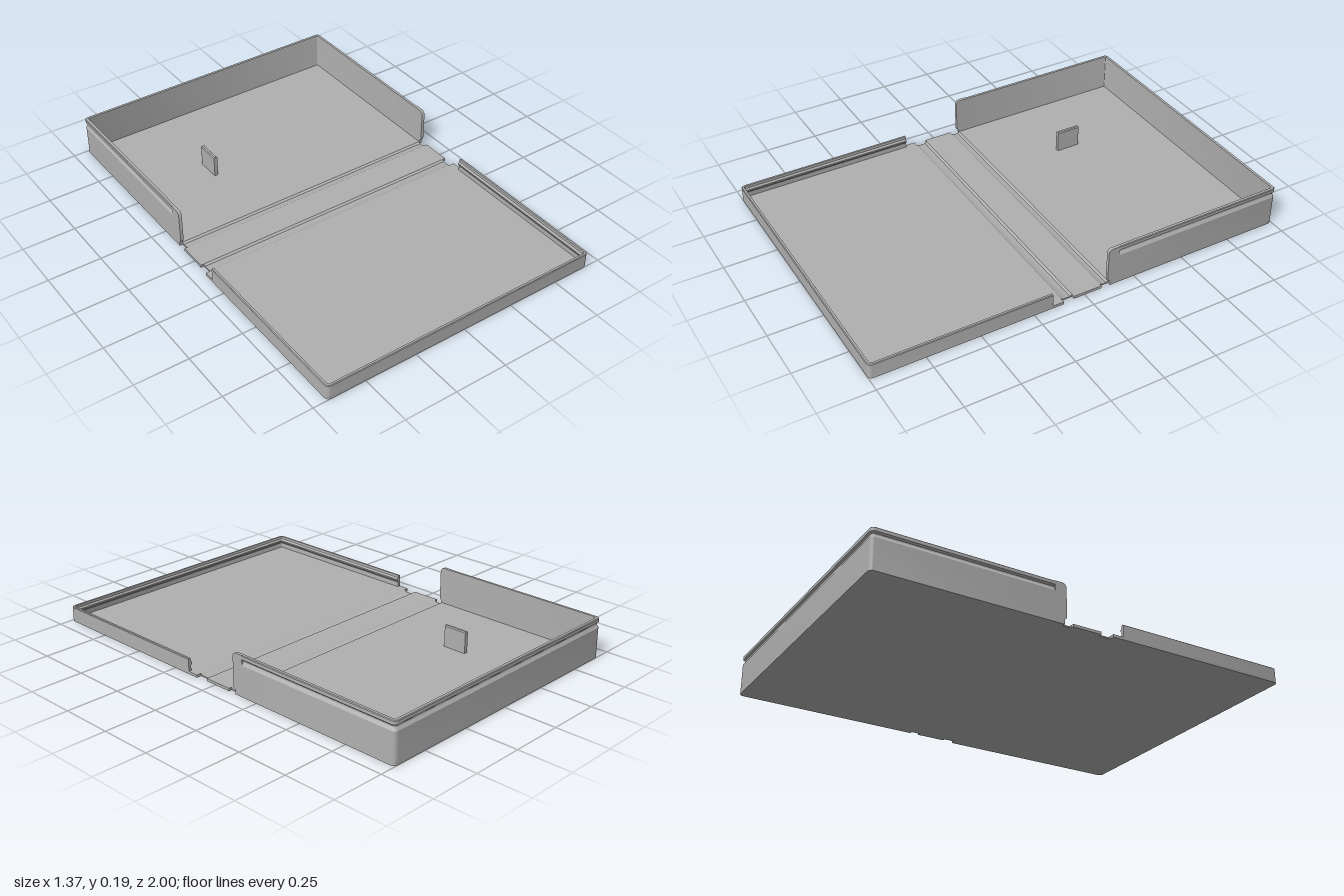
import * as THREE from 'three';
import { toCreasedNormals } from 'three/addons/utils/BufferGeometryUtils.js';

const FLOOR = 0.013;   // plate thickness
const THIN = 0.006;    // hinge thickness

// Flat plate in x/z with its two far (+z) corners rounded
function plate(hw, z0, z1, r) {
  const s = new THREE.Shape();
  s.moveTo(-hw, z0);
  s.lineTo(hw, z0);
  s.lineTo(hw, z1 - r);
  s.absarc(hw - r, z1 - r, r, 0, Math.PI / 2);
  s.absarc(-hw + r, z1 - r, r, Math.PI / 2, Math.PI);
  s.closePath();
  const g = new THREE.ExtrudeGeometry(s, { depth: FLOOR, bevelEnabled: false, curveSegments: 6 });
  g.rotateX(Math.PI / 2).translate(0, FLOOR, 0);
  return toCreasedNormals(g, 0.6);
}

// Shape drawn in (z, y), extruded across x and centred on the given x
function acrossX(shape, width, x = 0) {
  const g = new THREE.ExtrudeGeometry(shape, { depth: width, bevelEnabled: false, curveSegments: 6 });
  g.rotateY(-Math.PI / 2).translate(x + width / 2, 0, 0);
  return toCreasedNormals(g, 0.6);
}

// U-shaped wall: a section of [inset, y] points swept round three sides
function uWall(hw, z0, z1, r, section) {
  const n = section.length, steps = 6, pos = [], idx = [];
  const ring = (f) => section.forEach(([d, y]) => { const [x, z] = f(d); pos.push(x, y, z); });
  ring((d) => [hw - d, z0]);
  for (const side of [1, -1]) {
    for (let k = 0; k <= steps; k++) {
      const a = (side > 0 ? k : steps + k) / steps * Math.PI / 2;
      ring((d) => {
        const cx = side * (hw - r), cz = z1 - r;
        if (d > r) return [cx - side * (d - r), cz - (d - r)];
        return [cx + (r - d) * Math.cos(a), cz + (r - d) * Math.sin(a)];
      });
    }
  }
  ring((d) => [-hw + d, z0]);
  const rings = pos.length / 3 / n;
  for (let i = 0; i < rings - 1; i++) {
    for (let j = 0; j < n; j++) {
      const k = (j + 1) % n;
      const a = i * n + j, b = i * n + k, c = b + n, d = a + n;
      idx.push(a, b, c, a, c, d);
    }
  }
  // end caps
  const contour = section.map(([d, y]) => new THREE.Vector2(-d, y));
  const last = (rings - 1) * n;
  for (const [a, b, c] of THREE.ShapeUtils.triangulateShape(contour, [])) {
    idx.push(a, c, b, last + a, last + b, last + c);
  }
  const g = new THREE.BufferGeometry();
  g.setAttribute('position', new THREE.Float32BufferAttribute(pos, 3));
  g.setIndex(idx);
  return toCreasedNormals(g, 0.4);
}

export function createModel() {
  const model = new THREE.Group();
  model.name = 'hingedBox';
  const grey = new THREE.MeshStandardMaterial({ color: 0xb0b0b0 });
  grey.name = 'grey plastic';
  const add = (parent, name, geometry) => {
    const m = new THREE.Mesh(geometry, grey);
    m.name = name;
    parent.add(m);
    return m;
  };

  // Deep tray, built facing +z and turned to the back
  const tray = new THREE.Group();
  tray.name = 'tray';
  tray.rotation.y = Math.PI;
  model.add(tray);
  const TW = 0.677, TT = 0.015, TH = 0.19;
  add(tray, 'trayFloor', plate(TW, 0.127, 1, 0.02));
  // wall with a snap groove round the outside
  add(tray, 'trayWall', uWall(TW, 0.17, 1, 0.02, [
    [0, FLOOR], [0, 0.145], [0.008, 0.158], [0.008, 0.165], [0, 0.172],
    [0, TH - 0.003], [0.003, TH], [TT, TH], [TT, FLOOR],
  ]));
  // rounded wall ends next to the hinge
  const end = new THREE.Shape();
  end.moveTo(0.17, FLOOR);
  end.lineTo(0.17, TH);
  end.lineTo(0.135, TH);
  end.absarc(0.135, TH - 0.02, 0.02, Math.PI / 2, Math.PI, false);
  end.lineTo(0.115, 0.032);
  end.lineTo(0.127, 0.02);
  end.lineTo(0.127, FLOOR);
  end.closePath();
  for (const s of [1, -1]) {
    add(tray, s > 0 ? 'rightWallEnd' : 'leftWallEnd', acrossX(end, TT, s * (TW - TT / 2)));
  }

  // Upright tab on the tray floor
  const tab = new THREE.Shape();
  tab.moveTo(-0.009, FLOOR);
  tab.lineTo(0.009, FLOOR);
  tab.lineTo(0.009, 0.111);
  tab.lineTo(0.005, 0.116);
  tab.lineTo(-0.005, 0.116);
  tab.lineTo(-0.009, 0.111);
  tab.closePath();
  const tabMesh = add(model, 'tab', new THREE.ExtrudeGeometry(tab, { depth: 0.115, bevelEnabled: false }));
  tabMesh.position.set(-0.283, 0, -0.575);

  // Shallow lid with a small snap ridge inside its wall
  const lid = new THREE.Group();
  lid.name = 'lid';
  model.add(lid);
  const LW = 0.685, LH = 0.072;
  add(lid, 'lidFloor', plate(LW, 0.108, 1, 0.02));
  add(lid, 'lidWall', uWall(LW, 0.16, 1, 0.02, [
    [0, FLOOR], [0, LH - 0.003], [0.003, LH], [0.012, LH], [0.013, 0.06],
    [0.02, 0.052], [0.02, 0.046], [0.013, 0.036], [0.014, FLOOR],
  ]));

  // Spine and the two thin hinges beside it
  const spine = add(model, 'spine', new THREE.BoxGeometry(2 * 0.677, FLOOR, 0.138));
  spine.position.set(0, FLOOR / 2, -0.016);
  [[-0.127, -0.085], [0.053, 0.108]].forEach(([a, b], i) => {
    const s = new THREE.Shape();
    s.moveTo(a, 0);
    s.lineTo(b, 0);
    s.lineTo(b, FLOOR);
    s.lineTo(b - 0.012, THIN);
    s.lineTo(a + 0.01, THIN);
    s.lineTo(a, FLOOR);
    s.closePath();
    add(model, i ? 'lidHinge' : 'trayHinge', acrossX(s, 2 * 0.662));
  });

  return model;
}
